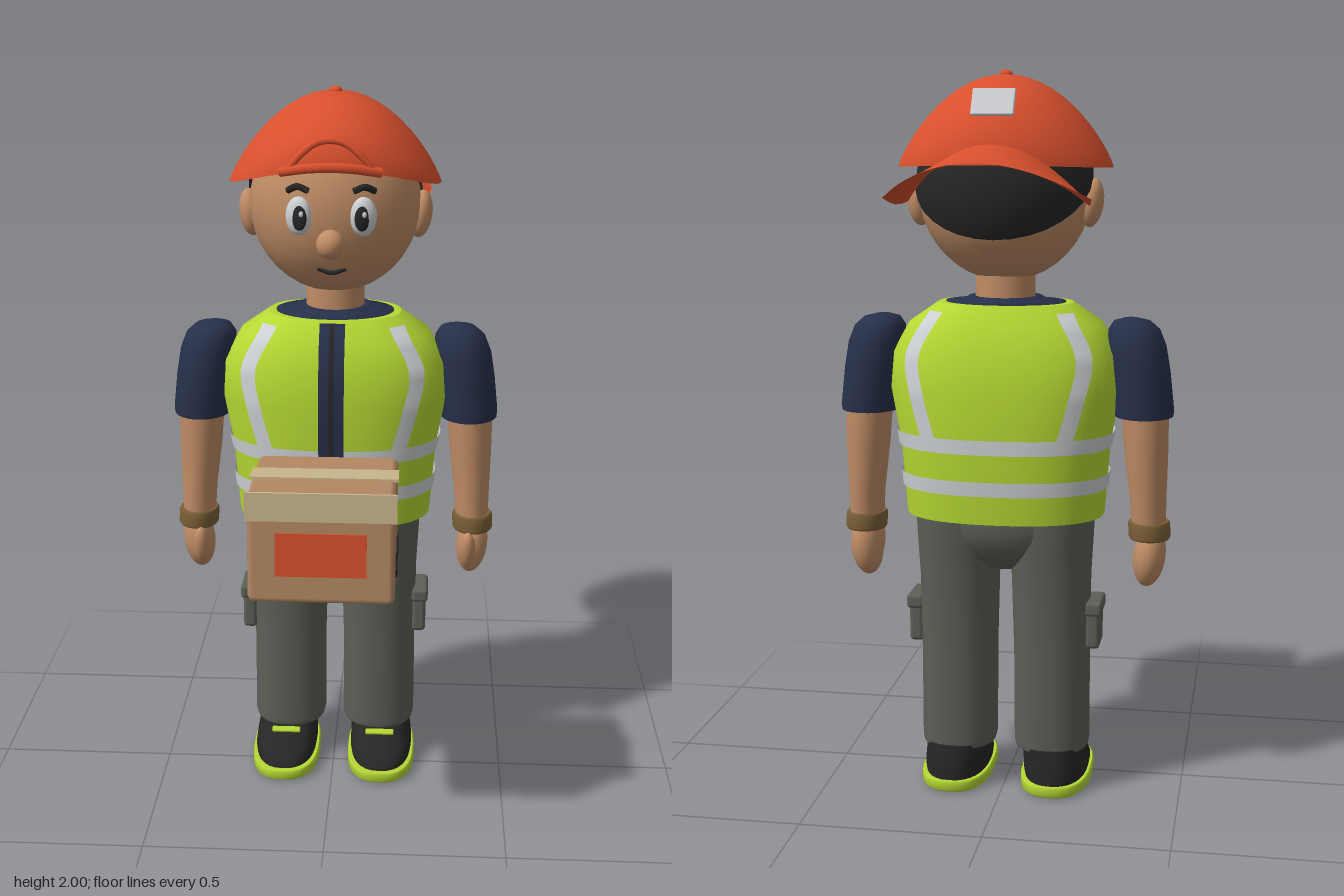
import * as THREE from 'three';
import { RoundedBoxGeometry } from 'three/addons/geometries/RoundedBoxGeometry.js';

const mat = (name, color) => new THREE.MeshStandardMaterial({ name, color, side: THREE.DoubleSide });
const V = (x, y, z) => new THREE.Vector3(x, y, z);
const spow = (v, e) => Math.sign(v) * Math.abs(v) ** e;

// Surface from a rule fn(u, v) -> [x, y, z]; wrap closes it in u
function grid(fn, nu, nv, wrap = false) {
  const pos = [], idx = [], cols = wrap ? nu : nu + 1;
  for (let j = 0; j <= nv; j++)
    for (let i = 0; i < cols; i++) pos.push(...fn(i / nu, j / nv));
  for (let j = 0; j < nv; j++)
    for (let i = 0; i < nu; i++) {
      const a = j * cols + i, b = j * cols + (i + 1) % cols;
      idx.push(a, a + cols, b, b, a + cols, b + cols);
    }
  const g = new THREE.BufferGeometry();
  g.setAttribute('position', new THREE.Float32BufferAttribute(pos, 3));
  g.setIndex(idx);
  g.computeVertexNormals();
  return g;
}

// Capped loft through rounded rings [y, cx, cz, rx, rz]
function loft(rings, n = 2, seg = 32) {
  const a = rings[0], b = rings[rings.length - 1];
  const point = (r) => [r[0], r[1], r[2], 0, 0];
  const all = [point(a), a, ...rings, b, point(b)];
  return grid((u, v) => {
    const [y, cx, cz, rx, rz] = all[Math.round(v * (all.length - 1))];
    const t = u * Math.PI * 2;
    return [cx + rx * spow(Math.cos(t), 2 / n), y, cz + rz * spow(Math.sin(t), 2 / n)];
  }, seg, all.length - 1, true);
}

// Vest rings and a lookup of the vest surface
const TORSO = [[0.8, 0, -0.092, 0.275, 0.192], [1.0, 0, -0.095, 0.29, 0.205], [1.15, 0, -0.093, 0.318, 0.207],
  [1.25, 0, -0.09, 0.312, 0.195], [1.33, 0, -0.09, 0.265, 0.166], [1.385, 0, -0.095, 0.185, 0.125]];
const TN = 2.4;
function torsoAt(y) {
  let k = 0;
  while (k < TORSO.length - 2 && y > TORSO[k + 1][0]) k++;
  const t = (y - TORSO[k][0]) / (TORSO[k + 1][0] - TORSO[k][0]);
  return TORSO[k].map((p, i) => p + (TORSO[k + 1][i] - p) * t);
}
function onTorso(x, y, side, off) {
  const [, , cz, rx, rz] = torsoAt(y);
  const q = Math.min(1, Math.abs(x) / (rx + off));
  return [x, y, cz + side * (rz + off) * (1 - q ** TN) ** (1 / TN)];
}

export function createModel() {
  const M = {
    skin: mat('skin', 0xbf8c65), red: mat('capRed', 0xd9502e), lime: mat('vestLime', 0xb5d933),
    navy: mat('shirtNavy', 0x27304a), pants: mat('trouserGrey', 0x5c6056), black: mat('black', 0x262626),
    silver: mat('reflectiveSilver', 0xcdd0d3), card: mat('cardboard', 0xb48863),
    tape: mat('tape', 0xc9b68d), strap: mat('strapBrown', 0x7c6038),
  };
  const root = new THREE.Group();
  root.name = 'deliveryWorker';
  const add = (name, geo, m, p = [0, 0, 0], s = [1, 1, 1], r = [0, 0, 0], parent = root) => {
    const mesh = new THREE.Mesh(geo, m);
    mesh.name = name;
    mesh.position.set(...p); mesh.scale.set(...s); mesh.rotation.set(...r);
    parent.add(mesh);
    return mesh;
  };
  const ball = new THREE.SphereGeometry(1, 32, 20);
  const box = (w, h, d, r = 0.01) => new RoundedBoxGeometry(w, h, d, 2, r);
  const tube = (pts, r) => new THREE.TubeGeometry(new THREE.CatmullRomCurve3(pts), 24, r, 8);

  // Vest with reflective bands
  add('vest', loft(TORSO, TN, 48), M.lime);
  for (const y0 of [0.88, 0.995])
    add('reflectiveBand', grid((u, v) => {
      const y = y0 + v * 0.04, [, , cz, rx, rz] = torsoAt(y), t = u * Math.PI * 2;
      return [(rx + 0.006) * spow(Math.cos(t), 2 / TN), y, cz + (rz + 0.006) * spow(Math.sin(t), 2 / TN)];
    }, 48, 1, true), M.silver);
  const braceX = new THREE.CatmullRomCurve3([V(0.185, 1.03, 0), V(0.215, 1.14, 0), V(0.232, 1.25, 0), V(0.175, 1.365, 0)]);
  for (const s of [1, -1])
    for (const side of [1, -1])
      add('reflectiveBrace', grid((u, v) => {
        const p = braceX.getPoint(v);
        return onTorso(s * (p.x + (u - 0.5) * 0.042), p.y, side, 0.006);
      }, 4, 20), M.silver);
  const placket = (w, off) => grid((u, v) => onTorso((u - 0.5) * w, 0.8 + v * 0.58, 1, off), 4, 24);
  add('vestOpening', placket(0.07, 0.01), M.navy);
  add('zip', placket(0.014, 0.014), M.black);

  // Shirt neckline and neck
  add('shirtNeckline', loft([[1.36, 0, -0.095, 0.17, 0.12], [1.388, 0, -0.095, 0.165, 0.118],
    [1.392, 0, -0.1, 0.115, 0.105], [1.402, 0, -0.1, 0.1, 0.095]]), M.navy);
  add('neck', new THREE.CylinderGeometry(0.08, 0.082, 0.16, 32), M.skin, [0, 1.45, -0.103]);

  // Hips
  add('hips', ball, M.pants, [0, 0.79, -0.1], [0.245, 0.155, 0.165]);

  for (const s of [1, -1]) {
    // Arms
    add('sleeve', loft([[1.08, s * 0.382, -0.1, 0.08, 0.094], [1.1, s * 0.382, -0.1, 0.081, 0.096],
      [1.2, s * 0.37, -0.1, 0.082, 0.097], [1.27, s * 0.36, -0.1, 0.08, 0.094], [1.315, s * 0.352, -0.1, 0.07, 0.08],
      [1.338, s * 0.346, -0.1, 0.05, 0.055], [1.346, s * 0.343, -0.1, 0.02, 0.025]]), M.navy);
    add('arm', loft([[0.74, s * 0.4, -0.095, 0.046, 0.056], [0.85, s * 0.397, -0.1, 0.05, 0.064],
      [0.98, s * 0.39, -0.106, 0.06, 0.074], [1.1, s * 0.385, -0.105, 0.065, 0.078]]), M.skin);
    add('wristband', loft([[0.735, s * 0.402, -0.095, 0.054, 0.062], [0.742, s * 0.402, -0.095, 0.058, 0.066],
      [0.778, s * 0.4, -0.095, 0.058, 0.066], [0.785, s * 0.4, -0.095, 0.054, 0.062]]), M.strap);
    add('hand', ball, M.skin, [s * 0.402, 0.685, -0.095], [0.045, 0.088, 0.062], [0, 0, -s * 0.1]);
    add('thumb', ball, M.skin, [s * 0.388, 0.685, -0.035], [0.024, 0.06, 0.026], [0.25, 0, 0]);

    // Legs and cargo pockets
    add('trouserLeg', loft([[0.125, s * 0.133, -0.095, 0.102, 0.11], [0.14, s * 0.133, -0.095, 0.106, 0.113],
      [0.4, s * 0.132, -0.098, 0.106, 0.121], [0.62, s * 0.13, -0.1, 0.11, 0.132], [0.72, s * 0.13, -0.1, 0.115, 0.148],
      [0.82, s * 0.13, -0.1, 0.12, 0.155]], 2.3), M.pants);
    add('cargoPocket', box(0.04, 0.125, 0.11, 0.012), M.pants, [s * 0.25, 0.482, -0.093]);
    add('pocketFlap', box(0.048, 0.04, 0.125, 0.01), M.pants, [s * 0.252, 0.536, -0.093]);

    // Shoes
    add('sole', loft([[0.004, s * 0.143, -0.047, 0.09, 0.178], [0.012, s * 0.143, -0.047, 0.1, 0.187],
      [0.034, s * 0.143, -0.047, 0.1, 0.187], [0.038, s * 0.143, -0.047, 0.096, 0.183]], 2.7), M.lime);
    add('shoe', loft([[0.03, s * 0.143, -0.05, 0.088, 0.175], [0.055, s * 0.143, -0.053, 0.092, 0.17],
      [0.078, s * 0.142, -0.068, 0.09, 0.155], [0.1, s * 0.14, -0.088, 0.088, 0.13],
      [0.135, s * 0.137, -0.105, 0.086, 0.108]], 2.4), M.black);
    add('lace', box(0.085, 0.012, 0.018, 0.005), M.lime, [s * 0.14, 0.115, 0.026], [1, 1, 1], [0.75, 0, 0]);

    // Face sides
    add('ear', ball, M.skin, [s * 0.235, 1.655, -0.115], [0.032, 0.066, 0.044], [0, 0, -s * 0.12]);
    add('eye', ball, M.silver, [s * 0.085, 1.688, 0.107], [0.036, 0.052, 0.026], [0, s * 0.3, 0]);
    add('pupil', ball, M.black, [s * 0.083, 1.686, 0.128], [0.021, 0.033, 0.009], [0, s * 0.3, 0]);
    add('eyeGlint', ball, M.silver, [s * 0.083 + 0.006, 1.698, 0.137], [0.006, 0.008, 0.004]);
    add('eyebrow', tube([V(s * 0.06, 1.757, 0.12), V(s * 0.088, 1.766, 0.11), V(s * 0.115, 1.753, 0.093)], 0.009), M.black);
  }

  // Head
  add('head', ball, M.skin, [0, 1.69, -0.1], [0.235, 0.248, 0.225]);
  add('nose', ball, M.skin, [0, 1.618, 0.136], [0.038, 0.04, 0.04]);
  add('mouth', tube([V(-0.038, 1.54, 0.072), V(0, 1.529, 0.077), V(0.038, 1.54, 0.072)], 0.006), M.black);
  add('hair', new THREE.SphereGeometry(0.243, 32, 16, 0, Math.PI * 2, 0, 1.42), M.black, [0, 1.69, -0.1], [1, 1, 1], [-0.69, 0, 0]);

  // Cap crown: rim lifted at the front, rounder front to back than side to side
  const crown = (t, phi, off = 0) => {
    const s = Math.sin(t), base = s > 0 ? 1.747 + 0.068 * s * s : 1.747 + 0.01 * s * s;
    const r = Math.cos(phi), f = Math.max(0, Math.sin(phi)) ** (1.7 - 0.7 * s * s);
    return [(0.29 + off) * r * Math.cos(t), base + (1.99 + off - base) * f, -0.1 + (0.256 + off) * r * s];
  };
  add('capCrown', grid((u, v) => crown(u * Math.PI * 2, v * Math.PI / 2), 40, 14, true), M.red);
  add('capButton', ball, M.red, [0, 1.99, -0.095], [0.018, 0.012, 0.018]);

  // Bill worn at the back, drooping at the sides
  const bill = (drop) => grid((u, v) => {
    const w = 2 * u - 1, q = w * w;
    const a = [0.238 * w, 1.81 - 0.15 * q, -0.095 - 0.25 * Math.sqrt(1 - 0.67 * q)];
    const b = [0.267 * w, 1.768 - 0.092 * q, -0.577 + 0.17 * q ** 1.3];
    return a.map((p, i) => p + (b[i] - p) * v - (i === 1 ? drop * Math.sin(Math.PI * v) : 0));
  }, 24, 6);
  add('capBill', bill(0), M.red);
  add('capBillUnderside', bill(0.012), M.red);

  // Strap and arched opening at the front of the cap
  const onCap = (x, phi) => V(...crown(Math.acos(x / 0.29 / Math.cos(phi)), phi, 0.004));
  add('capArch', tube([-1, -0.65, -0.25, 0.25, 0.65, 1].map((k) => onCap(0.11 * k, 0.06 + 0.38 * (1 - k * k))), 0.009), M.red);
  add('capStrap', tube([-0.13, -0.06, 0, 0.06, 0.13].map((x) => onCap(x, 0.05)), 0.013), M.red);
  add('capBadge', box(0.112, 0.08, 0.012, 0.004), M.silver, [0, 1.915, -0.296], [1, 1, 1], [0.57, 0, 0]);

  // Parcel
  const parcel = new THREE.Group();
  parcel.name = 'parcel';
  parcel.position.set(0, 0.922, 0.395);
  parcel.rotation.x = -0.045;
  root.add(parcel);
  const put = (name, geo, m, p, r) => add(name, geo, m, p, [1, 1, 1], r, parcel);
  put('carton', new RoundedBoxGeometry(0.375, 0.292, 0.345, 1, 0.016), M.card, [0, 0, 0]);
  put('topTape', new THREE.BoxGeometry(0.384, 0.008, 0.08), M.tape, [0, 0.146, 0]);
  put('frontTape', new THREE.BoxGeometry(0.384, 0.075, 0.008), M.tape, [0, 0.115, 0.174]);
  put('label', new THREE.BoxGeometry(0.232, 0.115, 0.006), M.red, [0, -0.012, 0.174]);
  const arrow = new THREE.Shape([[0, -0.034], [0.037, 0], [0.018, 0], [0.018, 0.032], [-0.018, 0.032], [-0.018, 0],
    [-0.037, 0]].map((p) => new THREE.Vector2(...p)));
  for (const z of [-0.068, 0.07])
    put('arrowMark', new THREE.ExtrudeGeometry(arrow, { depth: 0.006, bevelEnabled: false }), M.black,
      [0.186, -0.072, z], [0, Math.PI / 2, 0]);

  return root;
}
